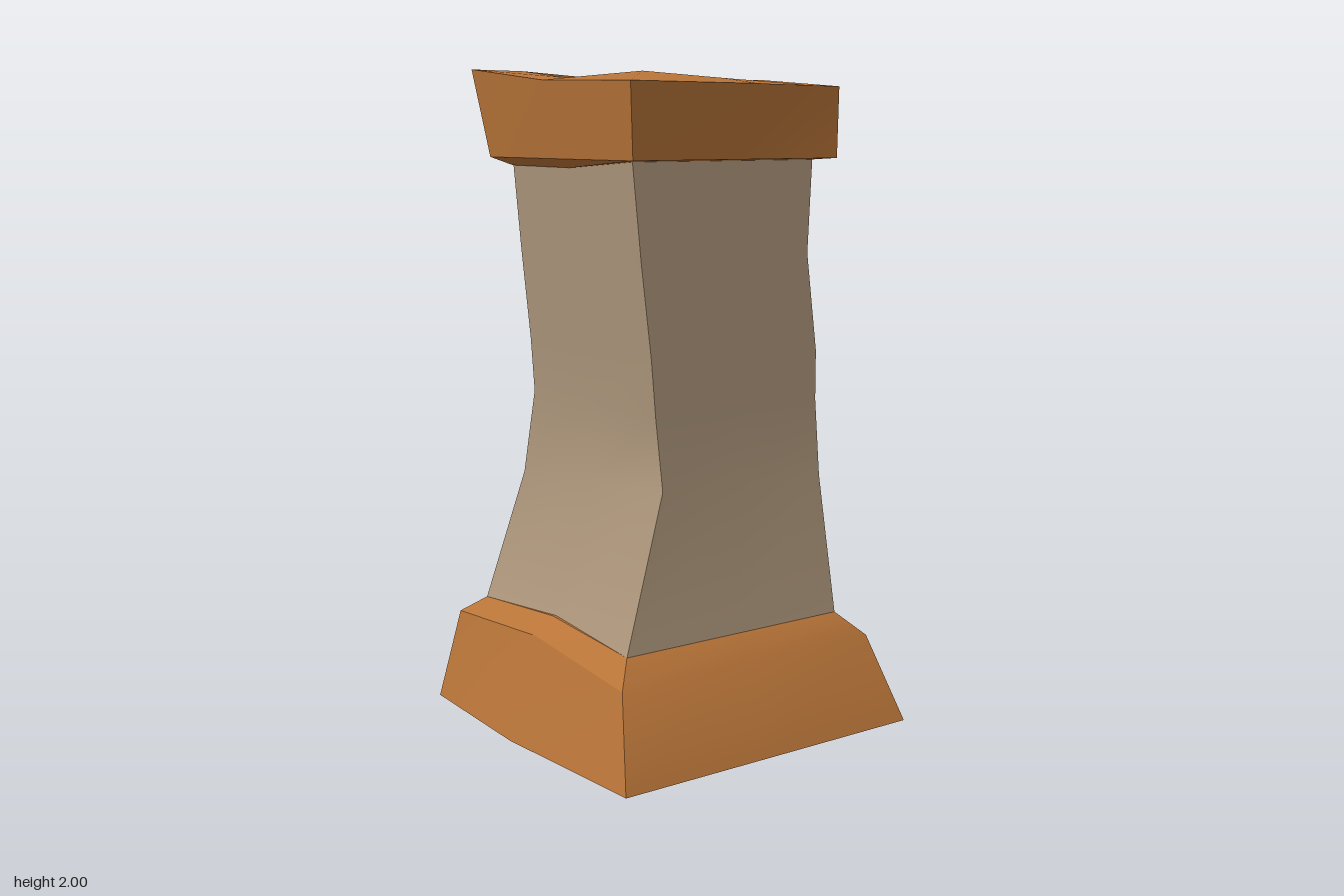
import * as THREE from 'three';
import { toCreasedNormals } from 'three/addons/utils/BufferGeometryUtils.js';

// Ring of 8 points from corners (front-left, front-right, back-right, back-left as seen
// from the front) plus offsets for the points halfway along the front, right, back and left.
function ring(corners, offsets = []) {
  const pts = [];
  corners.forEach((c, i) => {
    const a = new THREE.Vector3(...c);
    const b = new THREE.Vector3(...corners[(i + 1) % 4]);
    const mid = a.clone().add(b).multiplyScalar(0.5);
    if (offsets[i]) mid.add(new THREE.Vector3(...offsets[i]));
    pts.push(a, mid);
  });
  return pts;
}

// Skin a stack of rings and close both ends with a fan.
function loft(rings, crease) {
  const pos = [];
  const tri = (...v) => v.forEach((p) => pos.push(p.x, p.y, p.z));
  const n = rings[0].length;
  for (let r = 0; r < rings.length - 1; r++) {
    for (let i = 0; i < n; i++) {
      const j = (i + 1) % n;
      const [a, b, c, d] = [rings[r][i], rings[r][j], rings[r + 1][j], rings[r + 1][i]];
      tri(a, b, c);
      tri(a, c, d);
    }
  }
  const fan = (pts, up) => {
    const mid = new THREE.Vector3();
    pts.forEach((p) => mid.addScaledVector(p, 1 / n));
    pts.forEach((p, i) => {
      const q = pts[(i + 1) % n];
      if (up) tri(mid, p, q);
      else tri(mid, q, p);
    });
  };
  fan(rings[0], false);
  fan(rings[rings.length - 1], true);
  const geo = new THREE.BufferGeometry();
  geo.setAttribute('position', new THREE.Float32BufferAttribute(pos, 3));
  return toCreasedNormals(geo, crease);
}

export function createModel() {
  const wood = new THREE.MeshStandardMaterial({ color: 0xb87438 });
  wood.name = 'warm brown';
  const stone = new THREE.MeshStandardMaterial({ color: 0xae977c });
  stone.name = 'beige stone';

  const group = new THREE.Group();
  group.name = 'pillar';
  const add = (name, geo, mat) => {
    const mesh = new THREE.Mesh(geo, mat);
    mesh.name = name;
    group.add(mesh);
  };

  // Flared foot with a bevelled, slightly peaked top
  add('base', loft([
    ring([[-0.53, 0, 0.51], [0.53, 0, 0.51], [0.53, 0, -0.545], [-0.53, 0, -0.495]],
      [[-0.04, 0, 0.03], null, [-0.04, 0, 0.005]]),
    ring([[-0.5, 0.28, 0.445], [0.42, 0.26, 0.445], [0.42, 0.26, -0.48], [-0.5, 0.28, -0.435]],
      [[0, 0.04, 0], null, [0, 0.04, -0.02]]),
    ring([[-0.44, 0.33, 0.38], [0.35, 0.33, 0.38], [0.35, 0.33, -0.41], [-0.44, 0.33, -0.41]],
      [[0, 0.03, 0], null, [0, 0.04, -0.01]]),
  ], 0.43), wood);

  // Crooked shaft, soft along its faces and sharp at its corners
  add('shaft', loft([
    ring([[-0.44, 0.33, 0.38], [0.35, 0.33, 0.38], [0.35, 0.33, -0.41], [-0.44, 0.33, -0.41]]),
    ring([[-0.42, 0.73, 0.245], [0.29, 0.78, 0.21], [0.29, 0.76, -0.39], [-0.42, 0.75, -0.39]]),
    ring([[-0.36, 1, 0.24], [0.29, 1, 0.235], [0.29, 1, -0.37], [-0.38, 1, -0.375]]),
    ring([[-0.355, 1.17, 0.255], [0.29, 1.17, 0.25], [0.29, 1.15, -0.37], [-0.355, 1.17, -0.365]]),
    ring([[-0.355, 1.45, 0.285], [0.29, 1.45, 0.285], [0.29, 1.45, -0.33], [-0.355, 1.43, -0.33]]),
    ring([[-0.35, 1.74, 0.315], [0.29, 1.74, 0.315], [0.29, 1.74, -0.345], [-0.375, 1.74, -0.345]]),
  ], 0.75), stone);

  // Uneven cap: underside, outer walls, rim and a shallow recess
  add('cap', loft([
    ring([[-0.35, 1.71, 0.315], [0.29, 1.73, 0.315], [0.29, 1.73, -0.345], [-0.375, 1.715, -0.345]],
      [[0, -0.012, 0]]),
    ring([[-0.4, 1.735, 0.365], [0.365, 1.735, 0.365], [0.355, 1.735, -0.385], [-0.45, 1.74, -0.425]],
      [null, [0.005, 0, 0], [0, 0, -0.02], [-0.02, 0, 0]]),
    ring([[-0.445, 2, 0.4], [0.405, 1.95, 0.4], [0.355, 1.945, -0.39], [-0.49, 1.96, -0.39]],
      [[-0.02, -0.015, 0], [0.025, 0, -0.045], [0.03, 0.02, -0.015], [-0.022, 0, -0.035]]),
    ring([[-0.36, 1.995, 0.272], [0.28, 1.98, 0.272], [0.285, 1.95, -0.325], [-0.36, 1.96, -0.3]],
      [[0, -0.02, 0.042], [0, 0, 0.02], [0, 0.01, -0.06], [-0.01, 0, 0]]),
    ring([[-0.36, 1.915, 0.27], [0.275, 1.915, 0.27], [0.265, 1.915, -0.305], [-0.343, 1.915, -0.303]],
      [[0, 0, 0.03], [0.005, 0, 0.02], [0, 0, -0.016], [-0.008, 0, 0]]),
  ], 0.43), wood);

  return group;
}
